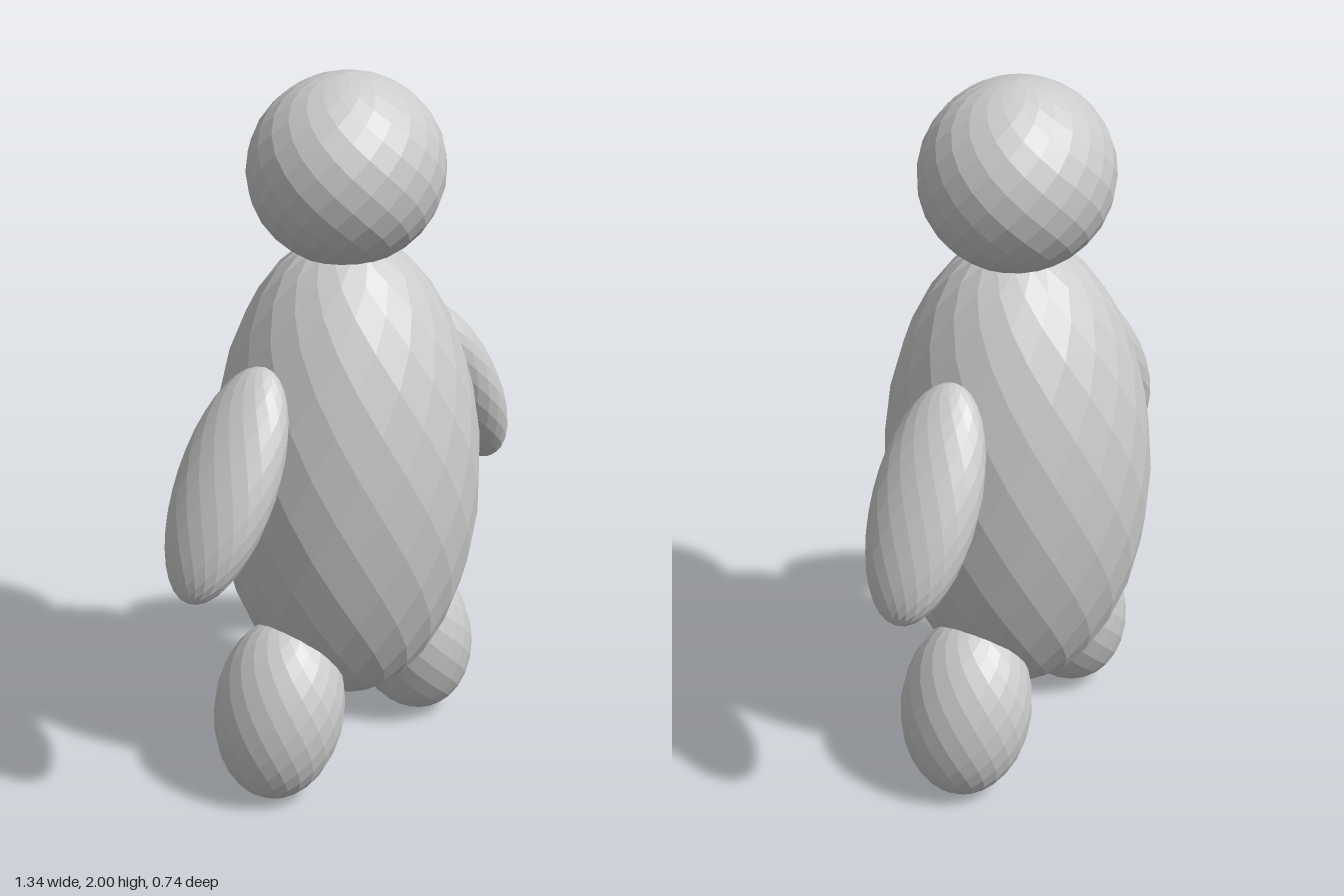
import * as THREE from 'three';

const material = new THREE.MeshStandardMaterial({ color: 0xcccccc });
const SIDES = 18, RINGS = 18;

// Ellipsoid faceted with diamonds: every second ring is turned by half a step
function diamondEllipsoid(rx, ry, rz) {
  const point = (ring, step) => {
    const lat = Math.PI * ring / RINGS;
    const lon = 2 * Math.PI * (step + 0.25) / SIDES;
    return new THREE.Vector3(
      rx * Math.sin(lat) * Math.sin(lon),
      ry * Math.cos(lat),
      rz * Math.sin(lat) * Math.cos(lon));
  };
  const positions = [], normals = [];
  for (let ring = 1; ring < RINGS; ring++) {
    for (let i = 0; i < SIDES; i++) {
      const mid = i + (ring % 2) / 2;
      const top = point(ring - 1, mid), bottom = point(ring + 1, mid);
      const left = point(ring, mid - 0.5), right = point(ring, mid + 0.5);
      // one flat normal for the whole diamond
      const normal = right.clone().sub(left).cross(top.clone().sub(bottom)).normalize();
      for (const p of [top, left, right, left, bottom, right]) {
        positions.push(p.x, p.y, p.z);
        normals.push(normal.x, normal.y, normal.z);
      }
    }
  }
  const geometry = new THREE.BufferGeometry();
  geometry.setAttribute('position', new THREE.Float32BufferAttribute(positions, 3));
  geometry.setAttribute('normal', new THREE.Float32BufferAttribute(normals, 3));
  return geometry;
}

export function createModel() {
  const model = new THREE.Group();
  model.name = 'figure';

  const add = (name, radii, x, y, tilt = 0) => {
    const mesh = new THREE.Mesh(diamondEllipsoid(...radii), material);
    mesh.name = name;
    mesh.position.set(x, y, 0);
    mesh.rotation.z = tilt;
    model.add(mesh);
  };

  // Trunk and head
  add('body', [0.37, 0.68, 0.37], 0, 0.89);
  add('head', [0.275, 0.255, 0.257], 0, 1.745);

  // Limbs, splayed outwards at the lower end
  for (const [side, s] of [['left', 1], ['right', -1]]) {
    add(side + 'Arm', [0.1, 0.322, 0.15], s * 0.488, 1.005, s * 0.51);
    add(side + 'Leg', [0.172, 0.261, 0.188], s * 0.295, 0.258, s * 0.24);
  }
  return model;
}
